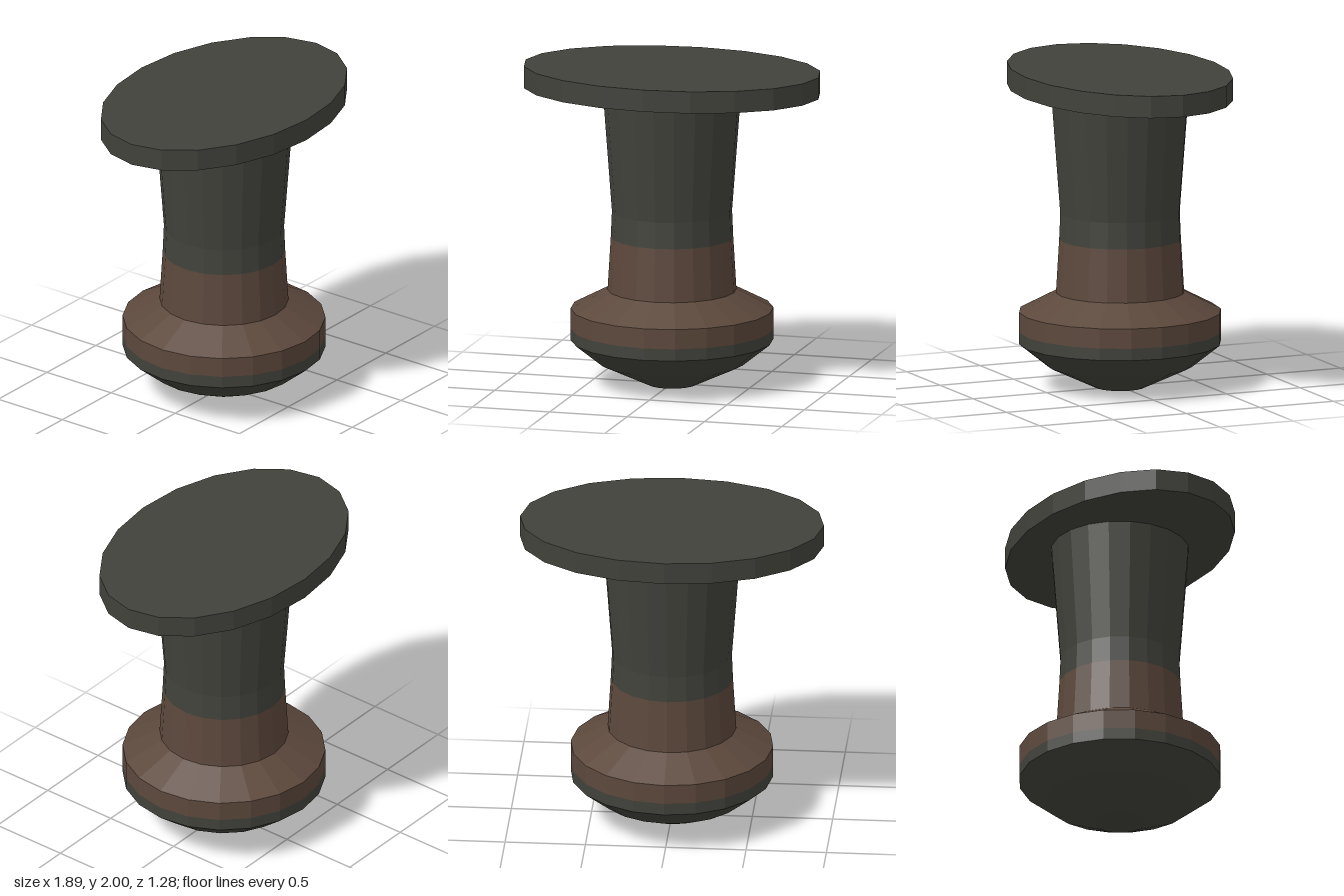
import * as THREE from 'three';

const SIDES = 20;

export function createModel() {
  const model = new THREE.Group();
  model.name = 'pedestal';

  const darkGrey = new THREE.MeshStandardMaterial({ color: 0x41423b, flatShading: true });
  darkGrey.name = 'dark grey';
  const brown = new THREE.MeshStandardMaterial({ color: 0x5c483c, flatShading: true });
  brown.name = 'brown';

  // Faceted turned part from [radius, height] pairs, bottom to top
  function turned(name, material, profile) {
    const points = profile.map(([r, y]) => new THREE.Vector2(r, y));
    const mesh = new THREE.Mesh(new THREE.LatheGeometry(points, SIDES), material);
    mesh.name = name;
    model.add(mesh);
  }

  // Rounded foot with a flat underside, and the lower edge of the rim
  turned('foot', darkGrey, [[0, 0], [0.155, 0], [0.455, 0.14], [0.63, 0.28], [0.63, 0.355]]);

  // Wide rim sloping in to the stem
  turned('rim', brown, [[0.63, 0.355], [0.63, 0.48], [0.4, 0.6]]);

  // Waisted stem in two colours
  turned('lowerStem', brown, [[0.4, 0.6], [0.38, 0.935]]);
  turned('upperStem', darkGrey, [[0.38, 0.935], [0.373, 1.1], [0.43, 1.865]]);

  // Oval top plate
  const plate = new THREE.Mesh(new THREE.CylinderGeometry(1, 1, 0.138, SIDES), darkGrey);
  plate.name = 'topPlate';
  plate.scale.set(0.946, 1, 0.642);
  plate.position.y = 1.931;
  model.add(plate);

  return model;
}
